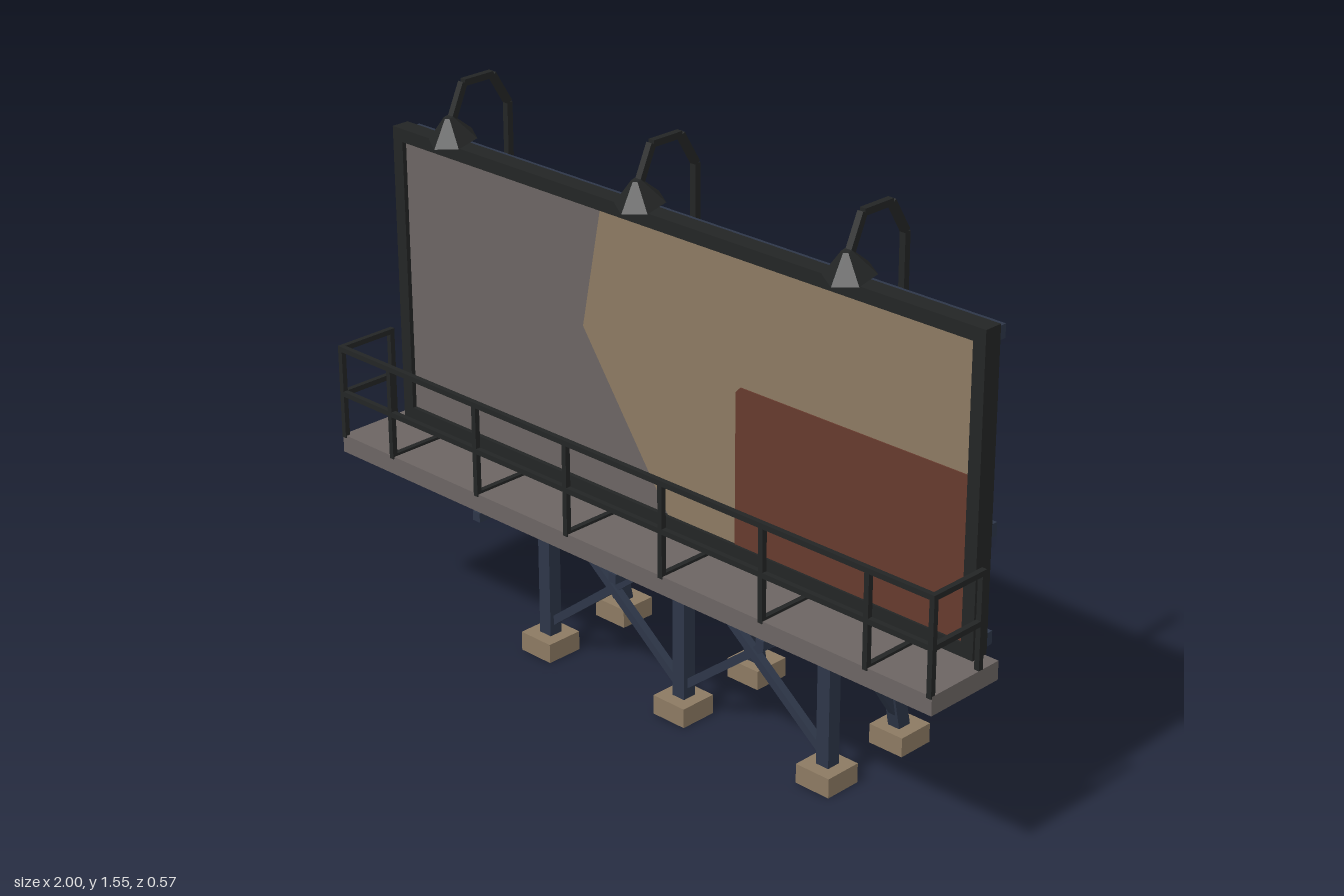
import * as THREE from 'three';

const paint = (name, color) => {
  const m = new THREE.MeshStandardMaterial({ color });
  m.name = name;
  return m;
};

export function createModel() {
  const root = new THREE.Group();
  root.name = 'billboard';
  const steel = paint('navy steel', 0x2d3648);
  const black = paint('black metal', 0x232525);
  const grey = paint('warm grey', 0x6c6563);
  const tan = paint('tan', 0x8c7a62);
  const rust = paint('rust red', 0x663a2d);

  const group = (name, parent = root) => {
    const g = new THREE.Group();
    g.name = name;
    parent.add(g);
    return g;
  };
  const add = (parent, name, geo, mat) => {
    const m = new THREE.Mesh(geo, mat);
    m.name = name;
    parent.add(m);
    return m;
  };
  // Box given by its limits on each axis
  const box = (parent, name, mat, [x0, x1], [y0, y1], [z0, z1]) => {
    const m = add(parent, name, new THREE.BoxGeometry(x1 - x0, y1 - y0, z1 - z0), mat);
    m.position.set((x0 + x1) / 2, (y0 + y1) / 2, (z0 + z1) / 2);
    return m;
  };
  // Square bar between two points
  const beam = (parent, name, mat, a, b, w, d = w) => {
    const p = new THREE.Vector3(...a), q = new THREE.Vector3(...b);
    const m = add(parent, name, new THREE.BoxGeometry(w, d, p.distanceTo(q)), mat);
    m.position.copy(p).add(q).multiplyScalar(0.5);
    m.lookAt(q);
    return m;
  };
  // Thin painted plate from outline points
  const plate = (parent, name, mat, pts, z) => {
    const shape = new THREE.Shape(pts.map(([x, y]) => new THREE.Vector2(x, y)));
    const m = add(parent, name, new THREE.ExtrudeGeometry(shape, { depth: 0.003, bevelEnabled: false }), mat);
    m.position.z = z;
  };

  // Sign panel, artwork and frame
  const sign = group('sign');
  box(sign, 'panel', grey, [-0.94, 0.94], [0.56, 1.325], [0.053, 0.088]);
  plate(sign, 'tanArtwork', tan,
    [[0, 0.573], [0.932, 0.573], [0.932, 1.312], [-0.225, 1.312], [-0.29, 0.99]], 0.088);
  plate(sign, 'redArtwork', rust,
    [[0.225, 0.573], [0.932, 0.573], [0.932, 0.987], [0.24, 0.987], [0.225, 0.972]], 0.091);
  const frame = group('frame', sign);
  box(frame, 'frameTop', black, [-0.965, 0.965], [1.31, 1.345], [0.05, 0.1]);
  box(frame, 'frameBottom', black, [-0.965, 0.965], [0.54, 0.575], [0.05, 0.1]);
  for (const s of [-1, 1])
    box(frame, 'frameSide', black, [s * 0.9475 - 0.0175, s * 0.9475 + 0.0175], [0.575, 1.31], [0.05, 0.1]);

  // Horizontal rails behind the panel
  for (const y of [0.567, 0.84, 1.317])
    box(sign, 'stringer', steel, [-0.955, 0.955], [y - 0.017, y + 0.017], [0.02, 0.053]);

  // Three support trusses, each a post, a raking leg and braces
  const postX = [-0.485, 0, 0.485];
  for (const x of postX) {
    const truss = group('supportTruss');
    box(truss, 'post', steel, [x - 0.02, x + 0.02], [0.05, 1.32], [0.019, 0.058]);
    beam(truss, 'rearLeg', steel, [x, 0.03, -0.232], [x, 1.3, 0.032], 0.036, 0.04);
    beam(truss, 'upperTie', steel, [x, 0.835, 0.04], [x, 0.835, -0.065], 0.025);
    beam(truss, 'walkwayBracket', steel, [x, 0.473, 0.285], [x, 0.473, -0.14], 0.025);
    beam(truss, 'sideBrace', steel, [x, 0.835, 0.03], [x, 0.48, -0.135], 0.022);
    beam(truss, 'sideBrace', steel, [x, 0.46, 0.035], [x, 0.08, -0.22], 0.022);
    for (const z of [0.04, -0.23])
      box(truss, 'footing', tan, [x - 0.053, x + 0.053], [0, 0.053], [z - 0.053, z + 0.053]);
  }

  // Crossed braces between neighbouring posts
  const cross = group('crossBraces');
  for (const [a, b] of [[-0.485, 0], [0, 0.485]])
    for (const [lo, hi] of [[0.08, 0.46], [0.5, 0.82]]) {
      beam(cross, 'crossBrace', steel, [a, lo, 0.035], [b, hi, 0.035], 0.022);
      beam(cross, 'crossBrace', steel, [a, hi, 0.042], [b, lo, 0.042], 0.022);
    }

  // Walkway with floor bars
  const walkway = group('walkway');
  box(walkway, 'deck', grey, [-1, 1], [0.487, 0.536], [0.05, 0.282]);
  const railX = [-0.805, -0.485, -0.162, 0.162, 0.485, 0.805];
  for (const x of railX)
    beam(walkway, 'floorBar', black, [x, 0.536, 0.06], [x, 0.536, 0.28], 0.014);

  // Railing: front posts and rails, returned at both ends
  const railing = group('railing');
  for (const x of [-0.993, ...railX, 0.993])
    box(railing, 'railPost', black, [x - 0.007, x + 0.007], [0.53, 0.785], [0.271, 0.285]);
  for (const y of [0.655, 0.78]) {
    beam(railing, 'frontRail', black, [-1, y, 0.278], [1, y, 0.278], 0.014);
    for (const s of [-1, 1])
      beam(railing, 'endRail', black, [s * 0.993, y, 0.106], [s * 0.993, y, 0.285], 0.014);
  }
  for (const x of [-0.993, 0.993])
    box(railing, 'endPost', black, [x - 0.007, x + 0.007], [0.53, 0.785], [0.106, 0.12]);

  // Gooseneck lamps
  const neck = [[1.2, -0.003], [1.46, -0.003], [1.543, 0.048], [1.543, 0.142], [1.45, 0.185]];
  for (const x of [-0.645, 0, 0.645]) {
    const lamp = group('lamp');
    box(lamp, 'lampBox', black, [x - 0.023, x + 0.023], [1.185, 1.285], [-0.013, 0.052]);
    for (let i = 0; i < neck.length - 1; i++) {
      const [y0, z0] = neck[i], [y1, z1] = neck[i + 1];
      beam(lamp, 'lampArm', black, [x, y0, z0], [x, y1, z1], 0.017);
    }
    const shade = add(lamp, 'lampShade', new THREE.CylinderGeometry(0.012, 0.063, 0.06, 6).toNonIndexed(), black);
    shade.geometry.computeVertexNormals();
    shade.position.set(x, 1.437, 0.186);
    shade.rotation.x = 0.21;
  }
  return root;
}
